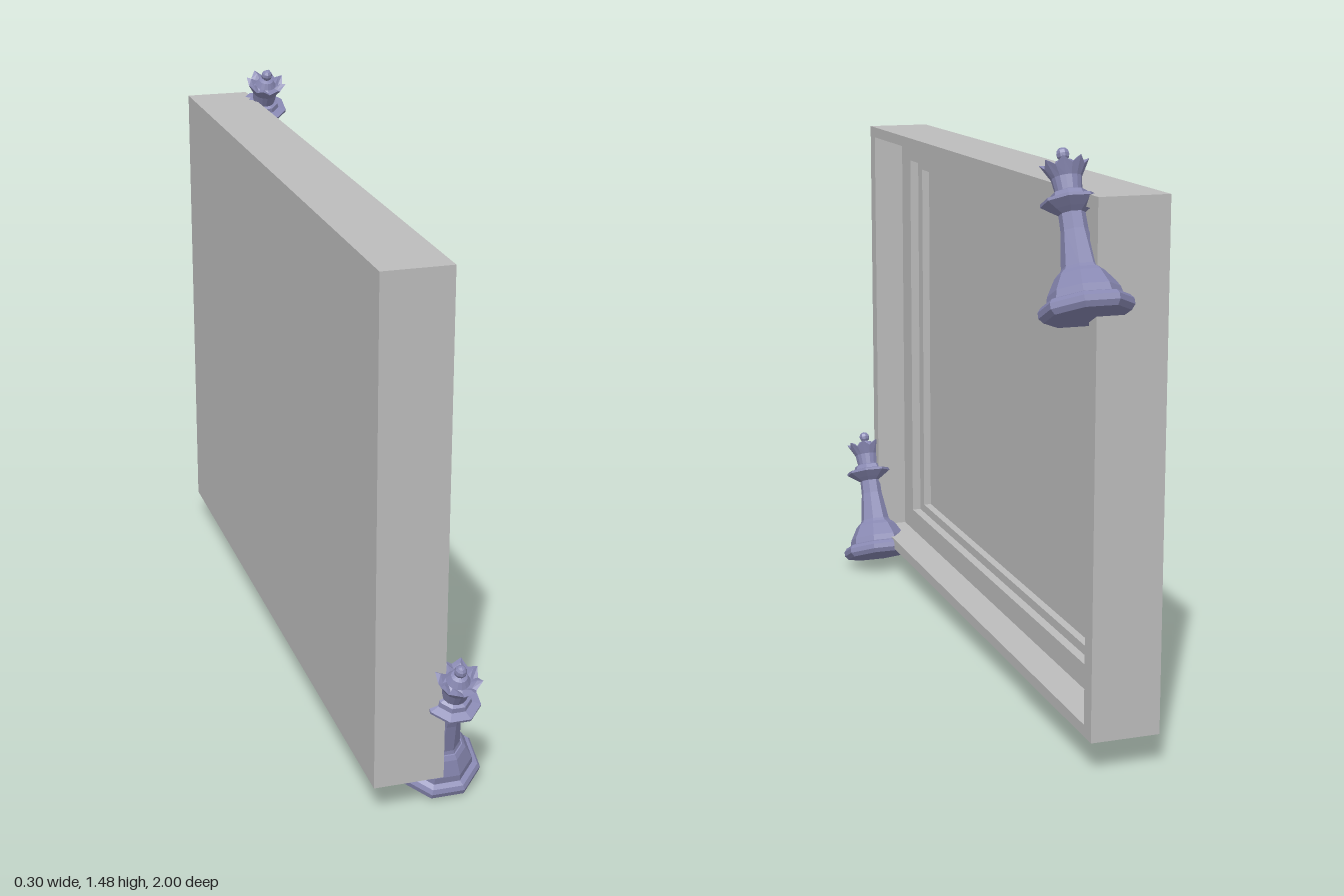
import * as THREE from 'three';

const trayGrey = new THREE.MeshStandardMaterial({ color: 0xbcbcbc });
const pieceBlue = new THREE.MeshStandardMaterial({ color: 0x8888b2 });

function mesh(name, geometry, material) {
  const m = new THREE.Mesh(geometry, material);
  m.name = name;
  return m;
}

// Hard facets on every face
function faceted(geometry) {
  const g = geometry.index ? geometry.toNonIndexed() : geometry;
  g.computeVertexNormals();
  return g;
}

function turned(profile, sides) {
  const points = profile.map(([r, y]) => new THREE.Vector2(r, y));
  return new THREE.LatheGeometry(points, sides, Math.PI / 8);
}

// Rectangle in the tray plane: shape x is -z
function trace(path, [z0, z1, y0, y1]) {
  path.moveTo(-z1, y0);
  path.lineTo(-z0, y0);
  path.lineTo(-z0, y1);
  path.lineTo(-z1, y1);
  path.closePath();
  return path;
}

const OUTER = [-0.9, 0.935, 0.09, 1.385];

// One slab of the tray between two x positions, with an optional opening
function traySlab(name, x0, x1, opening) {
  const shape = trace(new THREE.Shape(), OUTER);
  if (opening) shape.holes.push(trace(new THREE.Path(), opening));
  const geometry = new THREE.ExtrudeGeometry(shape, { depth: x1 - x0, bevelEnabled: false });
  geometry.rotateY(Math.PI / 2);
  geometry.translate(x0, 0, 0);
  return mesh(name, geometry, trayGrey);
}

function createTray() {
  const tray = new THREE.Group();
  tray.name = 'steppedTray';
  tray.add(
    traySlab('backPanel', -0.155, -0.112),
    traySlab('innerStep', -0.112, -0.09, [-0.73, 0.765, 0.21, 1.265]),
    traySlab('outerStep', -0.09, -0.065, [-0.765, 0.805, 0.185, 1.29]),
    traySlab('rim', -0.065, 0.022, [-0.855, 0.89, 0.12, 1.355])
  );
  return tray;
}

// Crown with eight raised points
function crownGeometry() {
  const profile = [[0.031, 0.29], [0.036, 0.325], [0.058, 0.364], [0.044, 0.362], [0.03, 0.35], [0.02, 0.366], [0, 0.372]];
  const g = turned(profile, 16);
  const p = g.attributes.position;
  for (let i = 1; i < 16; i += 2) {
    for (const j of [2, 3]) {
      const k = i * profile.length + j;
      p.setXYZ(k, p.getX(k) * 0.86, p.getY(k) - 0.016, p.getZ(k) * 0.86);
    }
  }
  return faceted(g);
}

function createQueen(name, y, z) {
  const queen = new THREE.Group();
  queen.name = name;
  const base = [[0, 0], [0.1, 0], [0.11, 0.012], [0.11, 0.026], [0.102, 0.036], [0.088, 0.04], [0.084, 0.058], [0.062, 0.096], [0.052, 0.106], [0, 0.106]];
  const stem = [[0.052, 0.1], [0.044, 0.115], [0.032, 0.2], [0.031, 0.245]];
  const collar = [[0.031, 0.24], [0.046, 0.25], [0.069, 0.266], [0.069, 0.273], [0.046, 0.278], [0.042, 0.29], [0.031, 0.294]];
  queen.add(
    mesh('base', faceted(turned(base, 8)), pieceBlue),
    mesh('stem', faceted(turned(stem, 8)), pieceBlue),
    mesh('collar', faceted(turned(collar, 8)), pieceBlue),
    mesh('crown', crownGeometry(), pieceBlue)
  );
  const ball = mesh('finial', faceted(new THREE.SphereGeometry(0.016, 8, 6)), pieceBlue);
  ball.position.y = 0.383;
  queen.add(ball);
  queen.position.set(0.046, y, z);
  queen.rotation.x = THREE.MathUtils.degToRad(25);
  return queen;
}

export function createModel() {
  const model = new THREE.Group();
  model.name = 'trayWithQueens';
  model.add(
    createTray(),
    createQueen('lowerQueen', 0.045, 0.805),
    createQueen('upperQueen', 1.118, -0.905)
  );
  return model;
}
